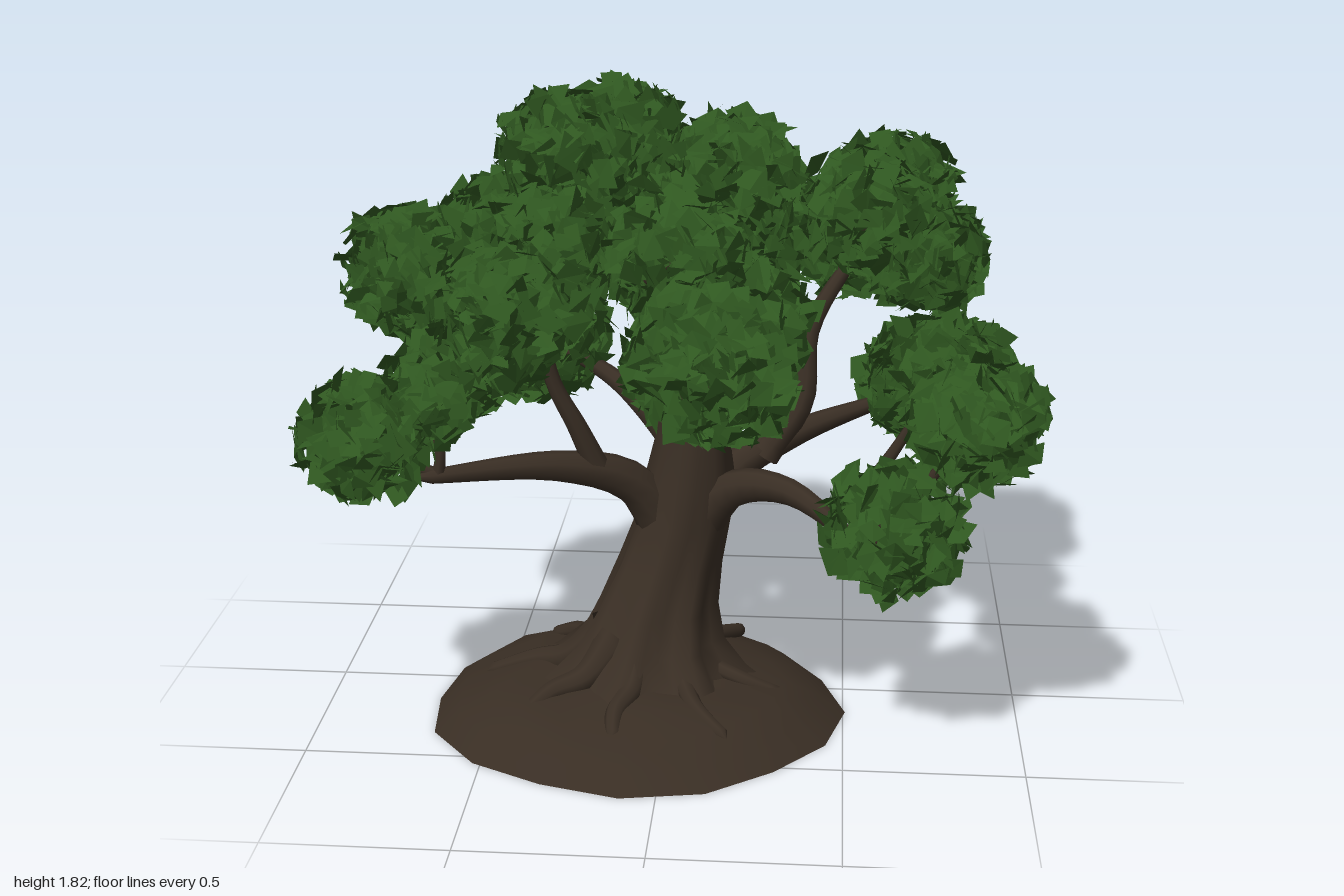
import * as THREE from 'three';

const bark = new THREE.MeshStandardMaterial({ color: 0x392e24, side: THREE.DoubleSide });
bark.name = 'bark brown';
const leaf = new THREE.MeshStandardMaterial({ color: 0x2f5720, side: THREE.DoubleSide });
leaf.name = 'leaf green';

let seed = 7;
const rand = () => {
  seed = (seed * 16807) % 2147483647;
  return seed / 2147483647;
};
const jitter = (a) => (rand() * 2 - 1) * a;
const vec = (x, y, z) => new THREE.Vector3(x, y, z);

// Skin a stack of rings of points into one surface
function skin(rings) {
  const sides = rings[0].length, idx = [];
  for (let i = 0; i < rings.length - 1; i++) {
    for (let j = 0; j < sides; j++) {
      const a = i * sides + j, b = i * sides + (j + 1) % sides;
      idx.push(a, b, a + sides, b, b + sides, a + sides);
    }
  }
  const g = new THREE.BufferGeometry().setFromPoints(rings.flat());
  g.setIndex(idx);
  g.computeVertexNormals();
  return g;
}

// Tapered limb along a curve, closing to a point
function limb(curve, r0, r1, sides = 8) {
  const n = 16, frames = curve.computeFrenetFrames(n, false);
  const rings = [];
  for (let i = 0; i <= n; i++) {
    const t = i / n, c = curve.getPointAt(t);
    const r = i === n ? 0.002 : r0 + (r1 - r0) * Math.pow(t, 0.7);
    rings.push(Array.from({ length: sides }, (_, j) => {
      const a = (j / sides) * Math.PI * 2;
      return c.clone().addScaledVector(frames.normals[i], Math.cos(a) * r)
        .addScaledVector(frames.binormals[i], Math.sin(a) * r);
    }));
  }
  return skin(rings);
}

// Leaning trunk: levels of y, x, z, radius, with buttress ridges fading upward
function trunkGeometry() {
  const levels = [
    [0.04, -0.09, 0.11, 0.35], [0.12, -0.085, 0.1, 0.26], [0.2, -0.07, 0.09, 0.195],
    [0.3, -0.05, 0.07, 0.165], [0.42, -0.015, 0.04, 0.147], [0.55, 0.025, 0.025, 0.135],
    [0.68, 0.045, 0.025, 0.125], [0.82, 0.055, 0.03, 0.1], [1.0, 0.06, 0.03, 0.083],
    [1.2, 0.06, 0.025, 0.052], [1.36, 0.07, 0.03, 0.003]];
  const sides = 28;
  return skin(levels.map(([y, x, z, r]) => {
    const ridge = 0.03 + 0.15 * Math.max(0, 1 - y / 0.5);
    return Array.from({ length: sides }, (_, j) => {
      const a = -(j / sides) * Math.PI * 2;
      const k = r * (1 + ridge * Math.cos(7 * a + y * 2) + 0.03 * Math.sin(3 * a + 5 * y));
      return vec(x + Math.cos(a) * k, y, z + Math.sin(a) * k);
    });
  }));
}

// Low earth mound with an uneven rim, open underneath
function moundGeometry() {
  const sides = 16;
  const steps = [[1, 0], [0.88, 0.05], [0.72, 0.09], [0.52, 0.115], [0.25, 0.125], [0.01, 0.13]];
  return skin(steps.map(([k, y]) => Array.from({ length: sides }, (_, j) => {
    const a = -(j / sides) * Math.PI * 2;
    const w = k * (0.99 + 0.025 * Math.sin(5 * a + 1));
    const bump = y > 0.05 ? 0.01 * Math.sin(3 * a + k * 9) : 0;
    return vec(-0.1 + Math.cos(a) * 0.6 * w, y + bump, 0.15 + Math.sin(a) * 0.55 * w);
  })));
}

// Root creeping outward from the trunk foot over the mound, thickest on the right side
function rootGeometry(i) {
  const a = 0.1 + i * 0.74, reach = 0.43 + 0.03 * Math.sin(i * 2);
  const at = (d, y, turn) => vec(-0.09 + Math.cos(a + turn) * d, y, 0.11 + Math.sin(a + turn) * d);
  const path = [at(0.1, 0.22, 0), at(0.21, 0.135, 0.04), at(0.31, 0.11, 0.14), at(reach, 0.07, 0.1)];
  return limb(new THREE.CatmullRomCurve3(path), 0.052 - 0.018 * Math.cos(a), 0.02);
}

// Lumpy ball of crumpled leaf cards facing roughly outward
function foliageGeometry(r) {
  const count = Math.round(360 * Math.pow(r / 0.2, 2));
  const points = [], phase = rand() * 6;
  for (let i = 0; i < count; i++) {
    const h = 1 - 2 * (i + 0.5) / count, a = i * 2.39996, s = Math.sqrt(1 - h * h);
    const dir = vec(Math.cos(a) * s, h, Math.sin(a) * s);
    const bump = 1 + 0.1 * Math.sin(4 * dir.x + phase) * Math.cos(4 * dir.z + 3 * dir.y + phase);
    const c = dir.clone().multiplyScalar(r * bump * (0.64 + 0.32 * Math.sqrt(rand())));
    c.y *= 0.95;
    const n = dir.clone().add(vec(jitter(0.9), jitter(0.9), jitter(0.9))).normalize();
    const u = vec(jitter(1), jitter(1), jitter(1)).cross(n).normalize();
    const v = n.clone().cross(u);
    const w = 0.024 + rand() * 0.022, l = 0.032 + rand() * 0.03;
    const at = (p, q, f) => c.clone().addScaledVector(u, p * w).addScaledVector(v, q * l).addScaledVector(n, f);
    const A = at(-1, -0.3, jitter(0.016)), B = at(0.2, -1, 0);
    const C = at(1, 0.2, jitter(0.016)), D = at(-0.1, 1, 0);
    points.push(A, B, C, A, C, D);
  }
  const g = new THREE.BufferGeometry().setFromPoints(points);
  g.computeVertexNormals();
  return g;
}

// Main boughs: start radius, then four points from the trunk outward
const boughs = [
  [0.095, [0.02, 0.44, 0.03], [-0.11, 0.67, 0.09], [-0.3, 0.755, 0.19], [-0.7, 0.77, 0.36]],
  [0.04, [-0.2, 0.72, 0.15], [-0.26, 0.87, 0.18], [-0.32, 1.0, 0.2], [-0.35, 1.15, 0.22]],
  [0.09, [0.02, 0.44, 0.03], [0.16, 0.66, 0.1], [0.33, 0.71, 0.22], [0.55, 0.62, 0.42]],
  [0.09, [0.03, 0.44, 0.02], [0.15, 0.65, -0.07], [0.33, 0.75, -0.14], [0.64, 0.83, -0.29]],
  [0.05, [0.25, 0.7, -0.1], [0.36, 0.86, -0.13], [0.38, 1.06, -0.18], [0.53, 1.3, -0.3]],
  [0.055, [0.06, 0.76, 0], [0.04, 1, -0.12], [0, 1.18, -0.24], [-0.1, 1.3, -0.4]],
  [0.05, [0.04, 0.72, 0.01], [-0.1, 0.86, -0.06], [-0.2, 0.92, -0.14], [-0.4, 1, -0.24]],
  [0.045, [0.06, 0.85, 0.05], [0.08, 0.96, 0.16], [0.09, 1, 0.3], [0.14, 1.1, 0.45]],
  [0.05, [0.05, 0.95, 0.03], [-0.06, 1.15, 0.04], [-0.15, 1.35, 0.02], [-0.22, 1.52, 0]],
];

// Foliage clumps: x, y, z, radius
const clumps = [
  [-0.82, 0.89, 0.38, 0.18], [-0.66, 0.97, 0.3, 0.14], [-0.74, 1.27, 0.02, 0.2], [-0.6, 1.03, 0.1, 0.17],
  [-0.43, 1.24, 0.3, 0.21], [-0.43, 1.03, -0.25, 0.23], [-0.5, 1.3, -0.19, 0.22],
  [-0.3, 1.4, 0.13, 0.19], [-0.16, 1.34, -0.44, 0.22], [-0.3, 1.61, 0.05, 0.19],
  [-0.16, 1.63, -0.1, 0.18], [0.17, 1.57, 0.12, 0.19], [0.03, 1.38, 0.27, 0.21],
  [0.14, 1.17, 0.5, 0.24], [0.2, 1.22, 0.25, 0.19], [0.2, 1.37, -0.28, 0.19],
  [0.53, 1.42, -0.17, 0.19], [0.5, 1.25, -0.57, 0.19], [0.62, 1.43, -0.42, 0.18],
  [0.74, 1.22, -0.46, 0.17], [0.7, 1.28, -0.22, 0.17], [0.73, 0.88, -0.22, 0.19],
  [0.7, 0.85, -0.38, 0.18], [0.74, 1.08, 0.3, 0.18], [0.82, 1.03, 0.51, 0.18],
  [0.62, 0.71, 0.46, 0.19], [0, 1.44, -0.05, 0.18],
];

export function createModel() {
  seed = 7;
  const tree = new THREE.Group();
  tree.name = 'tree';
  const add = (name, geometry, material) => {
    const m = new THREE.Mesh(geometry, material);
    m.name = name;
    tree.add(m);
    return m;
  };

  add('mound', moundGeometry(), bark);
  add('trunk', trunkGeometry(), bark);
  for (let i = 0; i < 8; i++) add('root', rootGeometry(i), bark);

  const sprouts = [];
  boughs.forEach(([r, ...path]) => {
    const curve = new THREE.CatmullRomCurve3(path.map((p) => vec(...p)));
    add('bough', limb(curve, r, 0.017), bark);
    sprouts.push(...curve.getSpacedPoints(12).slice(5, 12));
  });

  clumps.forEach(([x, y, z, r]) => {
    const centre = vec(x, y, z);
    add('foliageClump', foliageGeometry(r), leaf).position.copy(centre);

    // Twig from the nearest lower bough point, arching up into the clump
    const cost = (p) => p.distanceTo(centre) + Math.max(0, p.y - y);
    const start = sprouts.reduce((best, p) => (cost(p) < cost(best) ? p : best));
    const reach = start.distanceTo(centre);
    if (reach < 0.08) return;
    const middle = start.clone().lerp(centre, 0.5).add(vec(jitter(0.03), -0.12 * reach, jitter(0.03)));
    add('twig', limb(new THREE.CatmullRomCurve3([start, middle, centre]), 0.014 + 0.03 * reach, 0.009, 6), bark);
  });

  return tree;
}
